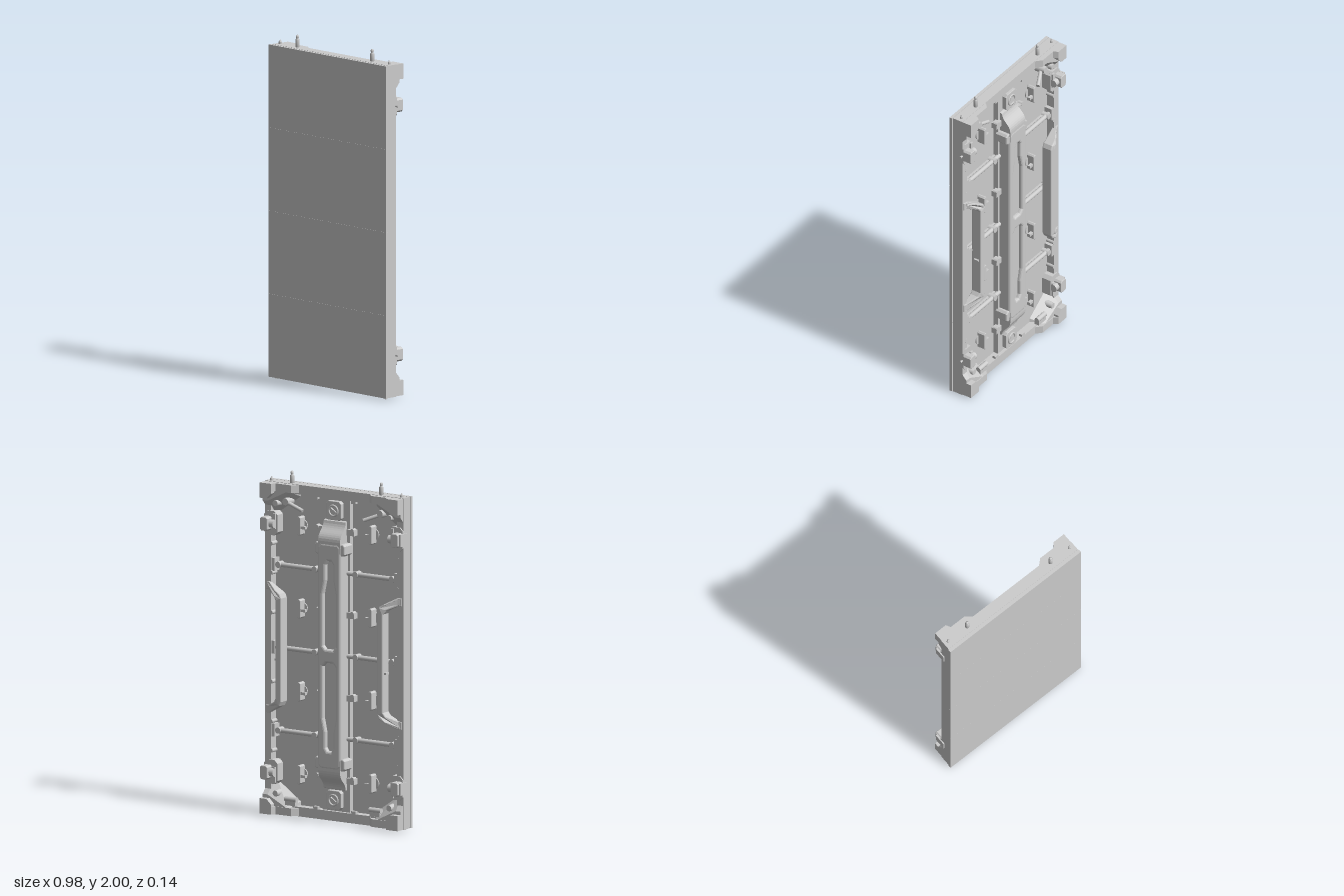
import * as THREE from 'three';
import { ConvexGeometry } from 'three/addons/geometries/ConvexGeometry.js';

const SIDES = [-1, 1];
const material = new THREE.MeshStandardMaterial({ color: 0xcccccc });

export function createModel() {
  const model = new THREE.Group();
  model.name = 'displayCabinet';
  // Local origin is the middle of the cabinet face
  const body = new THREE.Group();
  body.name = 'cabinet';
  body.position.set(-0.008, 0.97, 0);
  model.add(body);

  const add = (name, geometry, x = 0, y = 0, z = 0) => {
    const mesh = new THREE.Mesh(geometry, material);
    mesh.name = name;
    mesh.position.set(x, y, z);
    body.add(mesh);
    return mesh;
  };
  const box = (name, w, h, d, x, y, z) => add(name, new THREE.BoxGeometry(w, h, d), x, y, z);
  const rod = (name, r, length, axis, x, y, z, r2 = r) => {
    const g = new THREE.CylinderGeometry(r2, r, length, 16);
    if (axis === 'x') g.rotateZ(Math.PI / 2);
    if (axis === 'z') g.rotateX(-Math.PI / 2);
    return add(name, g, x, y, z);
  };
  const outline = (points) => points.map(([x, y]) => new THREE.Vector2(x, y));
  // Flat part cut from an outline, reaching from z0 (back) to z1 (front)
  const plate = (name, points, z0, z1, holes = [], bevel = 0) => {
    const shape = new THREE.Shape(outline(points));
    holes.forEach((h) => shape.holes.push(new THREE.Path(outline(h))));
    const g = new THREE.ExtrudeGeometry(shape, {
      depth: z1 - z0 - 2 * bevel, bevelEnabled: bevel > 0, bevelSize: bevel,
      bevelThickness: bevel, bevelOffset: -bevel, bevelSegments: 3,
    });
    g.translate(0, 0, z0 + bevel);
    return add(name, g);
  };
  // Rectangle outline with chamfered corners
  const chamfered = (w, h, c, x = 0, y = 0) => [
    [x - w + c, y - h], [x + w - c, y - h], [x + w, y - h + c], [x + w, y + h - c],
    [x + w - c, y + h], [x - w + c, y + h], [x - w, y + h - c], [x - w, y - h + c],
  ];

  // Front tiles and the module backs behind them
  for (let i = 0; i < 4; i++) {
    const y = -0.72 + i * 0.48;
    box('frontTile', 0.958, 0.4796, 0.0185, 0.0005, y, 0.06325);
    box('moduleBack', 0.93, 0.48, 0.015, 0, y, 0.0425);
    for (const s of SIDES) {
      // Module clip: upright lever on a round seat with a hook
      rod('clipSeat', 0.032, 0.008, 'z', s * 0.245, y, 0.032);
      plate('clipLever', chamfered(0.012, 0.055, 0.008, s * 0.245, y), -0.014, 0.036, [], 0.003);
      box('clipHook', 0.045, 0.016, 0.018, s * 0.225, y - 0.008, 0);
      // Clamp on the flank of the spine
      box('spineClamp', 0.05, 0.035, 0.035, s * 0.11, y, 0.004);
      rod('spineClampKnob', 0.013, 0.03, 'z', s * 0.122, y + 0.012, 0);
    }
  }

  // Frame with a chamfered opening, and the web that carries the spine
  plate('frame', [[-0.475, -0.96], [0.475, -0.96], [0.475, 0.96], [-0.475, 0.96]],
    -0.014, 0.05, [chamfered(0.432, 0.905, 0.07)]);
  plate('spineWeb', chamfered(0.095, 0.92, 0.01), 0.006, 0.048);
  box('frontSeam', 0.948, 1.914, 0.006, 0, 0, 0.0525);

  // Cross ribs over the module joints
  for (const y of [-0.48, 0, 0.48]) {
    for (const s of SIDES) {
      rod('crossRib', 0.014, 0.36, 'x', s * 0.26, y, 0.008);
      box('ribWeb', 0.36, 0.012, 0.03, s * 0.26, y, 0.025);
      for (const x of [0.14, 0.39]) rod('ribBoss', 0.018, 0.05, 'z', s * x, y, 0.014);
      box('ribFoot', 0.03, 0.075, 0.05, s * 0.425, y, 0.012);
    }
  }

  // Central spine with rounded edges and two long pockets
  const pocket = (s) => [
    [-0.025, 0.04], [0.025, 0.04], [0.042, 0.06], [0.042, 0.36], [0.025, 0.44],
    [0.025, 0.53], [0.012, 0.55], [-0.012, 0.55], [-0.025, 0.53], [-0.025, 0.44],
    [-0.042, 0.36], [-0.042, 0.06],
  ].map(([x, y]) => [x, s * y]);
  plate('spineBase', chamfered(0.08, 0.655, 0.01), -0.045, 0.02);
  plate('spineFace', chamfered(0.08, 0.655, 0.02), -0.068, -0.03, SIDES.map(pocket), 0.014);

  for (const s of SIDES) {
    // Curved neck running from the spine down to the web
    const neck = new THREE.Shape();
    neck.moveTo(0.6, -0.02);
    neck.lineTo(0.6, 0.066);
    neck.lineTo(0.665, 0.066);
    neck.bezierCurveTo(0.72, 0.066, 0.72, 0.016, 0.775, 0.008);
    neck.lineTo(0.785, -0.02);
    const g = new THREE.ExtrudeGeometry(neck, { depth: 0.15, bevelEnabled: false, curveSegments: 10 });
    g.translate(0, 0, -0.075);
    // profile runs along y, its height faces the back
    g.applyMatrix4(new THREE.Matrix4().makeBasis(
      new THREE.Vector3(0, s, 0), new THREE.Vector3(0, 0, -1), new THREE.Vector3(-s, 0, 0)));
    add('spineNeck', g);
    plate('connectorPad', chamfered(0.052, 0.055, 0.014, 0, s * 0.838), -0.022, 0.02, [], 0.003);
    add('connectorRing', new THREE.TorusGeometry(0.03, 0.006, 8, 24), 0, s * 0.838, -0.023);
    box('connectorBar', 0.045, 0.014, 0.012, 0, s * 0.838, -0.025).rotation.z = 0.6;
    plate('spineShoulder', chamfered(0.104, 0.035, 0.012, 0, s * 0.622), -0.062, 0.02, [], 0.008);
    for (const t of SIDES) box('railTab', 0.03, 0.02, 0.02, t * 0.13, s * 0.9, -0.003);
  }

  for (const sx of SIDES) {
    const flip = (points, sy) => points.map(([x, y]) => [sx * x, sy * y]);

    // Carrying handle, its ends sinking into the frame
    const handle = plate('handle', flip([
      [0.465, 0.38], [0.44, 0.38], [0.375, 0.345], [0.34, 0.325], [0.328, 0.3], [0.328, -0.3],
      [0.34, -0.325], [0.375, -0.345], [0.44, -0.38], [0.465, -0.38], [0.465, -0.335],
      [0.445, -0.335], [0.385, -0.305], [0.37, -0.285], [0.37, 0.285], [0.385, 0.305],
      [0.445, 0.335], [0.465, 0.335],
    ], 1), -0.069, -0.004, [], 0.008).geometry;
    const p = handle.attributes.position;
    for (let i = 0; i < p.count; i++) {
      const t = THREE.MathUtils.clamp((Math.abs(p.getX(i)) - 0.37) / 0.08, 0, 1);
      p.setZ(i, p.getZ(i) * (1 - 0.7 * t));
    }
    handle.computeVertexNormals();
    box('handleStop', 0.04, 0.012, 0.03, sx * 0.362, -0.06, -0.04);

    for (const sy of SIDES) {
      // Corner block, sloped gusset and the stepped rail end beside it
      plate('cornerBlock', flip([[0.473, 0.958], [0.395, 0.958], [0.395, 0.9], [0.425, 0.87],
        [0.473, 0.87]], sy), -0.072, 0);
      add('cornerGusset', new ConvexGeometry([
        [0.473, 0.95, -0.04], [0.3, 0.95, -0.04], [0.3, 0.92, -0.04], [0.38, 0.9, -0.04],
        [0.44, 0.85, -0.04], [0.473, 0.85, -0.04], [0.473, 0.95, 0.04], [0.25, 0.95, 0.04],
        [0.26, 0.88, 0.04], [0.35, 0.86, 0.04], [0.41, 0.8, 0.04], [0.43, 0.76, 0.04],
        [0.473, 0.76, 0.04],
      ].map(([x, y, z]) => new THREE.Vector3(sx * x, sy * y, z))));
      const step = new THREE.Shape(outline([[0.238, 0.01], [0.277, 0.045], [0.38, 0.045],
        [0.395, 0.072], [0.465, 0.072], [0.473, 0]].map(([x, y]) => [sx * x, y])));
      const g = new THREE.ExtrudeGeometry(step, { depth: 0.045, bevelEnabled: false });
      g.rotateX(-Math.PI / 2);
      add('railEnd', g, 0, sy > 0 ? 0.913 : -0.958, 0);
      rod('cornerKnob', 0.022, 0.05, 'z', sx * 0.39, sy * 0.84, -0.012, 0.017);

      // Side latch
      plate('latchBody', chamfered(0.026, 0.04, 0.01, sx * 0.448, sy * 0.72), -0.07, 0.01, [], 0.004);
      rod('latchDrum', 0.024, 0.035, 'x', sx * 0.41, sy * 0.72, -0.035);
      box('latchArm', 0.022, 0.09, 0.025, sx * 0.405, sy * 0.735, -0.02);
      plate('latchSeat', chamfered(0.045, 0.07, 0.02, sx * 0.43, sy * 0.72), -0.022, 0.04);
      if (sx > 0) {
        rod('latchPin', 0.006, 0.024, 'x', 0.483, sy * 0.72, -0.012);
        rod('latchPinHead', 0.009, 0.006, 'x', 0.492, sy * 0.72, -0.012);
      } else {
        box('latchPlate', 0.012, 0.07, 0.07, -0.476, sy * 0.72, -0.02);
      }
      // Frame screws on the inner edge
      for (const y of [0.2, 0.43, 0.6]) rod('frameBoss', 0.012, 0.05, 'z', sx * 0.434, sy * y, 0.01);
    }

    // Locking lever below the top rail, clamp above the bottom rail
    const lever = rod('lockLever', 0.011, 0.11, 'x', sx * 0.27, 0.83, sx < 0 ? -0.026 : -0.012);
    lever.rotation.set(0, sx < 0 ? 0.45 : 0, sx * 0.35);
    rod('leverHub', 0.026, 0.06, 'z', sx * 0.325, 0.855, -0.002, 0.02);
    box('bottomClamp', 0.07, 0.03, 0.03, sx * 0.29, -0.885, -0.018);
    rod('bottomClampRoll', 0.015, 0.08, 'x', sx * 0.29, -0.865, -0.022);

    // Alignment pins on top and feet below
    const pin = [[0, 0], [0.012, 0], [0.012, 0.045], [0.007, 0.05], [0.007, 0.054],
      [0.009, 0.058], [0.009, 0.066], [0.005, 0.072], [0, 0.072]];
    add('alignmentPin', new THREE.LatheGeometry(outline(pin), 20), sx * 0.306, 0.958, 0.012);
    rod('smallPin', 0.009, 0.012, 'y', sx * 0.446, 0.966, 0.012);
    rod('smallPinTip', 0.008, 0.012, 'y', sx * 0.446, 0.977, 0.012, 0.003);
    rod('foot', 0.008, 0.012, 'y', sx * 0.446, -0.964, 0.04);
  }
  return model;
}
